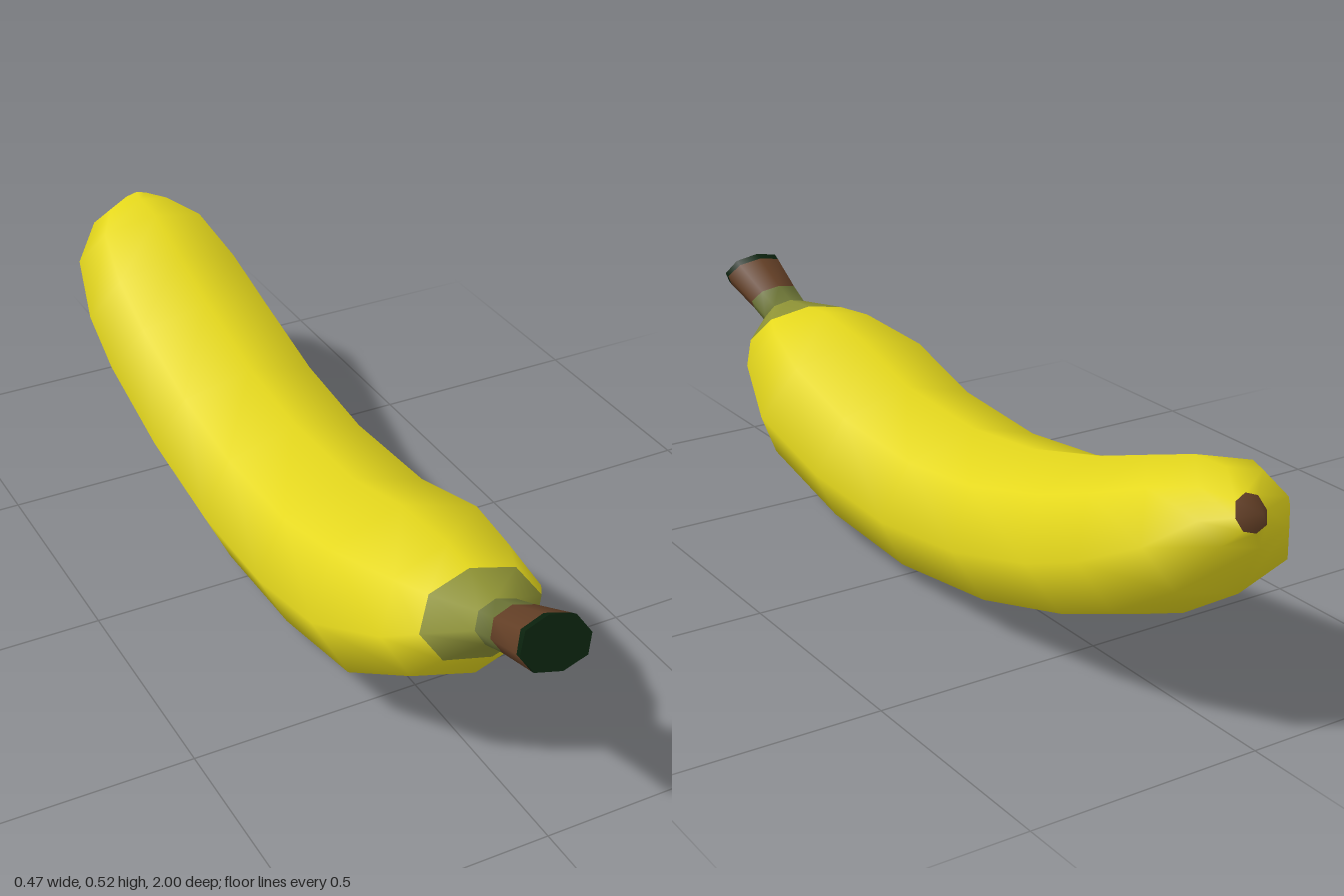
import * as THREE from 'three';

const paint = (name, color) => {
  const m = new THREE.MeshStandardMaterial({ color });
  m.name = name;
  return m;
};

// Eight-sided section: [side fraction of half width, fraction of the way from bottom to top]
const half = [[0, 0], [0.75, 0.13], [1, 0.48], [0.71, 0.86], [0, 1]];
const section = [...half, ...half.slice(1, 4).reverse().map(([s, t]) => [-s, t])];
const N = section.length;

// Colour slots of the skin
const YELLOW = 0, PATCH = 1, NECK = 2, BROWN = 3, DARK = 4;

// Rings from stem to tip: bottom z, bottom y, top z, top y, half width, x shift, colour of the band after it
const rings = [
  [1.0, 0.395, 0.945, 0.483, 0.076, 0, DARK],
  [0.992, 0.392, 0.928, 0.475, 0.075, 0, BROWN],
  [0.885, 0.357, 0.83, 0.428, 0.063, 0, NECK],
  [0.82, 0.33, 0.775, 0.405, 0.058, 0, PATCH],
  [0.775, 0.268, 0.68, 0.413, 0.135, 0, YELLOW],
  [0.72, 0.19, 0.6, 0.42, 0.18, 0, YELLOW],
  [0.55, 0.08, 0.42, 0.4, 0.235, 0, YELLOW],
  [0.26, 0.015, 0.22, 0.345, 0.23, 0, YELLOW],
  [-0.03, 0.0, -0.05, 0.33, 0.225, 0, YELLOW],
  [-0.36, 0.045, -0.27, 0.355, 0.222, 0, YELLOW],
  [-0.63, 0.125, -0.5, 0.415, 0.22, 0, YELLOW],
  [-0.78, 0.19, -0.65, 0.467, 0.21, 0, YELLOW],
  [-0.93, 0.29, -0.79, 0.515, 0.175, 0, YELLOW],
  [-0.98, 0.4, -0.88, 0.52, 0.105, 0, YELLOW],
  [-0.993, 0.437, -0.958, 0.503, 0.036, 0.022, YELLOW],
];

const ringPoints = ([zb, yb, zt, yt, w, dx]) => section.map(([s, t]) =>
  [dx + s * w, yb + (yt - yb) * t, zb + (zt - zb) * t]);

// Geometry with one index list per material
function groupedGeometry(points, lists) {
  const g = new THREE.BufferGeometry();
  g.setAttribute('position', new THREE.Float32BufferAttribute(points.flat(), 3));
  g.setIndex(lists.flat());
  let start = 0;
  lists.forEach((list, i) => {
    g.addGroup(start, list.length, i);
    start += list.length;
  });
  g.computeVertexNormals();
  return g;
}

// Flat or pointed end closing a ring
function endCap(ring, centre, facesFront) {
  const faces = [];
  for (let k = 0; k < N; k++) {
    const a = k + 1, b = (k + 1) % N + 1;
    faces.push(0, ...(facesFront ? [a, b] : [b, a]));
  }
  return groupedGeometry([centre, ...ringPoints(ring)], [faces]);
}

export function createModel() {
  const yellow = paint('ripe yellow', 0xe4d71c);
  const patchOlive = paint('patch olive', 0x8d9134);
  const neckOlive = paint('neck olive', 0x6a7235);
  const brown = paint('stem brown', 0x633f26);
  const darkGreen = paint('cut end dark green', 0x0a210d);
  const group = new THREE.Group();
  group.name = 'banana';
  const add = (name, geometry, material) => {
    const mesh = new THREE.Mesh(geometry, material);
    mesh.name = name;
    group.add(mesh);
  };

  // Continuous skin: brown stem with a dark rim, olive neck and patch, yellow body
  const lists = [[], [], [], [], []];
  for (let i = 0; i < rings.length - 1; i++) {
    for (let k = 0; k < N; k++) {
      const a = i * N + k, b = i * N + (k + 1) % N, c = a + N, d = b + N;
      const band = rings[i][6];
      const underNeck = band === NECK && (k === 0 || k === N - 1);
      lists[underNeck ? DARK : band].push(a, c, b, b, c, d);
    }
  }
  add('skin', groupedGeometry(rings.flatMap(ringPoints), lists),
    [yellow, patchOlive, neckOlive, brown, darkGreen]);

  // Cut end of the stem and the dry blossom tip
  add('stemEnd', endCap(rings[0], [0, 0.439, 0.9725], true), darkGreen);
  add('blossomTip', endCap(rings[rings.length - 1], [0.015, 0.475, -1], false), brown);
  return group;
}
